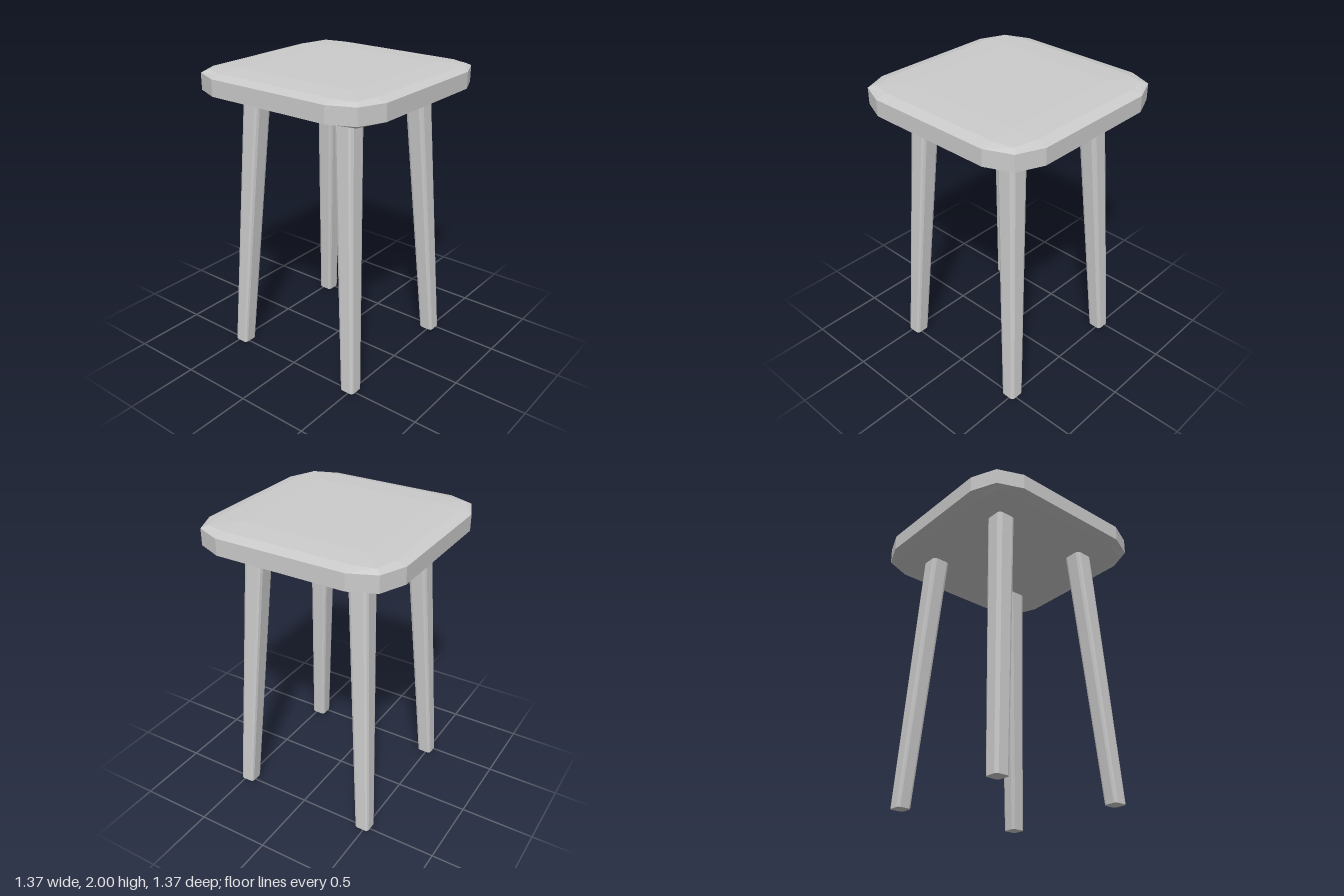
import * as THREE from 'three';

const material = new THREE.MeshStandardMaterial({ color: 0xcccccc, flatShading: true });

// Twelve-point rounded square: half width c, corner at b, corner starts at a
function ring(a, b, c, y, cx = 0, cz = 0) {
  const points = [];
  for (let q = 0; q < 4; q++) {
    for (let [x, z] of [[c, a], [b, b], [a, c]]) {
      for (let k = 0; k < q; k++) [x, z] = [-z, x];
      points.push([cx + x, y, cz + z]);
    }
  }
  return points;
}

// Skin a stack of rings from bottom to top and close both ends
function loft(rings, name) {
  const n = rings[0].length, last = rings.length - 1;
  const index = [];
  for (let r = 0; r < last; r++) {
    for (let i = 0; i < n; i++) {
      const p0 = r * n + i, p1 = r * n + (i + 1) % n;
      index.push(p0, p0 + n, p1, p1, p0 + n, p1 + n);
    }
  }
  for (let i = 1; i < n - 1; i++) {
    index.push(0, i, i + 1);
    index.push(last * n, last * n + i + 1, last * n + i);
  }
  const indexed = new THREE.BufferGeometry();
  indexed.setAttribute('position', new THREE.Float32BufferAttribute(rings.flat(2), 3));
  indexed.setIndex(index);
  const geometry = indexed.toNonIndexed();
  geometry.computeVertexNormals();
  const mesh = new THREE.Mesh(geometry, material);
  mesh.name = name;
  return mesh;
}

export function createModel() {
  const group = new THREE.Group();
  group.name = 'stool';

  // Seat: upright rim, bevelled edges and slightly crowned faces
  group.add(loft([
    ring(0.44, 0.44, 0.44, 1.835),
    ring(0.44, 0.58, 0.61, 1.843),
    ring(0.44, 0.612, 0.685, 1.865),
    ring(0.44, 0.612, 0.685, 1.974),
    ring(0.44, 0.58, 0.61, 1.992),
    ring(0.44, 0.44, 0.44, 2.0),
  ], 'seat'));

  // Four splayed legs, thinner at the foot
  const legRing = (half, y, cx, cz) => ring(half * 0.64, half * 0.89, half, y, cx, cz);
  for (const [sx, side] of [[1, 'Left'], [-1, 'Right']]) {
    for (const [sz, end] of [[1, 'front'], [-1, 'back']]) {
      group.add(loft([
        legRing(0.051, 0, sx * 0.483, sz * 0.483),
        legRing(0.068, 1.85, sx * 0.367, sz * 0.367),
      ], `${end}${side}Leg`));
    }
  }
  return group;
}
